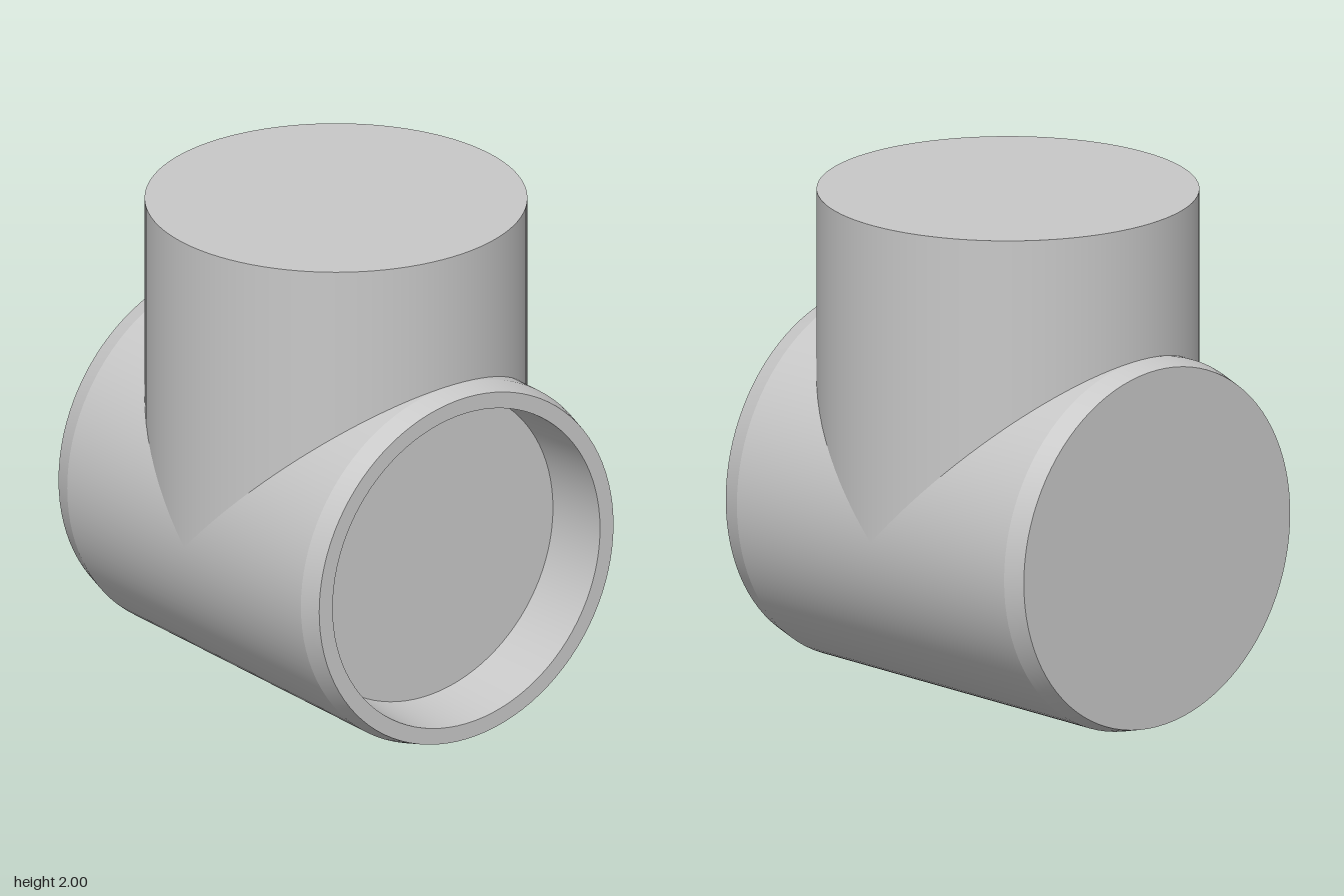
import * as THREE from 'three';
import { toCreasedNormals } from 'three/addons/utils/BufferGeometryUtils.js';

const R = 0.733;      // radius shared by barrel and branch
const AXIS_Y = 0.735; // height of the barrel axis
const SIDES = 96;

export function createModel() {
  const model = new THREE.Group();
  model.name = 'pipeTee';
  const grey = new THREE.MeshStandardMaterial({ color: 0xc8c8c8 });
  grey.name = 'light grey';

  // Turned part on the barrel axis, profile as [radius, z] pairs
  const turned = (name, profile) => {
    const points = profile.map(([r, z]) => new THREE.Vector2(r, z));
    const geometry = toCreasedNormals(new THREE.LatheGeometry(points, SIDES), 0.15);
    geometry.rotateX(Math.PI / 2);
    const mesh = new THREE.Mesh(geometry, grey);
    mesh.name = name;
    mesh.position.y = AXIS_Y;
    model.add(mesh);
  };

  // Horizontal barrel with a closed tapered back and an open tapered front
  turned('backCollar', [[0, -0.82], [0.71, -0.82], [R, -0.735]]);
  turned('barrel', [[R, -0.735], [R, 0.735]]);
  turned('frontCollar', [[R, 0.735], [0.71, 0.82], [0.645, 0.82]]);
  turned('socket', [[0.645, 0.82], [0.625, 0.55], [0, 0.55]]);

  // Upright branch, its lower edge mitred onto the barrel
  const wall = new THREE.CylinderGeometry(R, R, 2 - AXIS_Y, SIDES, 1, true);
  wall.translate(0, (2 + AXIS_Y) / 2, 0);
  const pos = wall.attributes.position;
  for (let i = 0; i < pos.count; i++) {
    if (pos.getY(i) < 1) pos.setY(i, AXIS_Y + Math.abs(pos.getZ(i)));
  }
  const branch = new THREE.Mesh(wall, grey);
  branch.name = 'branch';
  model.add(branch);

  // Flat lid on the branch
  const lid = new THREE.Mesh(new THREE.CircleGeometry(R, SIDES), grey);
  lid.name = 'branchLid';
  lid.rotation.x = -Math.PI / 2;
  lid.position.y = 2;
  model.add(lid);

  return model;
}
